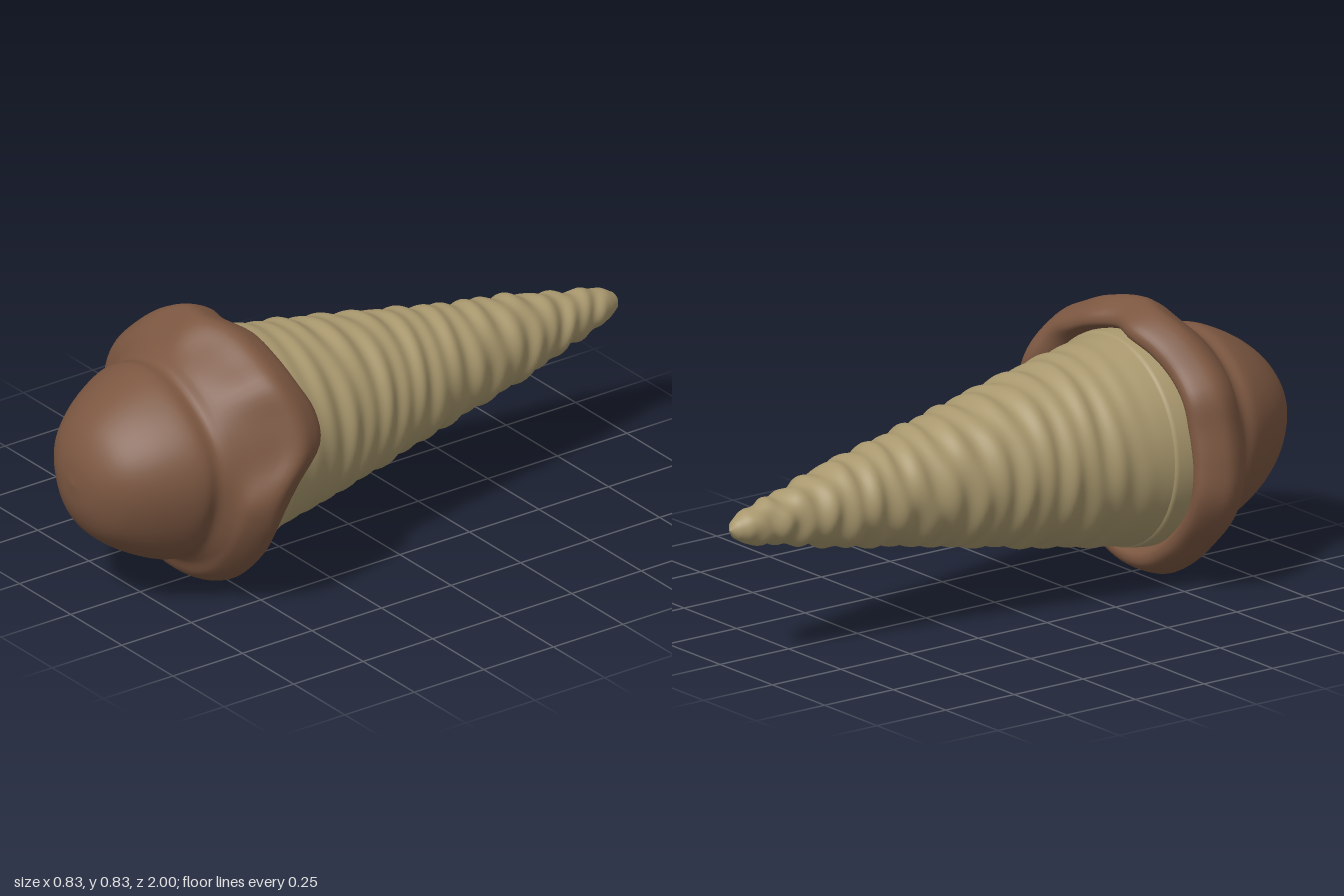
import * as THREE from 'three';

const CY = 0.415; // height of the long axis
const SEG = 96;

// Periodic smooth lookup into values spread evenly round the circle
function around(values, angle) {
  const n = values.length;
  const t = ((angle / (Math.PI * 2)) * n + n) % n;
  const i = Math.floor(t), f = t - i;
  const [a, b, c, d] = [-1, 0, 1, 2].map(k => values[(i + k + n) % n]);
  return b + 0.5 * f * (c - a + f * (2 * a - 5 * b + 4 * c - d + f * (3 * (b - c) + d - a)));
}

// Piecewise-linear lookup in rows of [z, ...], z falling
function lookup(rows, z, col) {
  let i = 0;
  while (i < rows.length - 2 && z < rows[i + 1][0]) i++;
  const [p, q] = [rows[i], rows[i + 1]];
  return THREE.MathUtils.lerp(p[col], q[col], (z - p[0]) / (q[0] - p[0]));
}

// Skin of closed rings running from front to back; point(row, angle) gives [x, y, z]
function loft(rows, point) {
  const pos = [], index = [];
  for (let i = 0; i < rows; i++) {
    for (let j = 0; j < SEG; j++) pos.push(...point(i, (j / SEG) * Math.PI * 2));
  }
  for (let i = 0; i < rows - 1; i++) {
    for (let j = 0; j < SEG; j++) {
      const a = i * SEG + j, d = i * SEG + ((j + 1) % SEG);
      index.push(a, a + SEG, d, d, a + SEG, d + SEG);
    }
  }
  const g = new THREE.BufferGeometry();
  g.setAttribute('position', new THREE.Float32BufferAttribute(pos, 3));
  g.setIndex(index);
  g.computeVertexNormals();
  return g;
}

// Outer radius of the skirt and z of its drooping edge, every 15 degrees from +x
const SKIRT = [0.41, 0.42, 0.425, 0.43, 0.412, 0.41, 0.41, 0.412, 0.408, 0.403, 0.413, 0.4,
  0.408, 0.423, 0.415, 0.405, 0.41, 0.42, 0.415, 0.407, 0.4, 0.39, 0.39, 0.4];
const EDGE = [0.44, 0.365, 0.36, 0.39, 0.395, 0.405, 0.435, 0.415, 0.435, 0.455, 0.455, 0.46,
  0.46, 0.455, 0.46, 0.465, 0.46, 0.455, 0.455, 0.46, 0.465, 0.465, 0.48, 0.48];

// Scoop with a thick rolled skirt
function iceCreamGeometry() {
  const rows = 64, cache = new Map();
  const profile = angle => {
    if (!cache.has(angle)) {
      const R = around(SKIRT, angle), E = around(EDGE, angle);
      const w = 1 + 0.02 * Math.sin(3 * angle + 0.6) + 0.01 * Math.sin(5 * angle);
      const peak = Math.min(E + 0.1, 0.56);
      const pts = [[0, 0.995], [0.09 * w, 0.98], [0.165 * w, 0.94], [0.22 * w, 0.88],
        [0.268 * w, 0.8], [0.295 * w, 0.73], [0.295 * w, 0.685], [0.325, 0.65],
        [R - 0.035, peak + 0.065], [R, peak], [R - 0.012, (peak + E) / 2],
        [R - 0.04, E + 0.008], [R - 0.07, E + 0.005], [0.32, E + 0.04], [0.295, 0.54]];
      const curve = new THREE.CatmullRomCurve3(pts.map(p => new THREE.Vector3(p[0], p[1], 0)));
      cache.set(angle, Array.from({ length: rows }, (_, k) => curve.getPoint(k / (rows - 1))));
    }
    return cache.get(angle);
  };
  return loft(rows, (i, a) => {
    const p = profile(a)[i];
    return [p.x * Math.cos(a), CY + p.x * Math.sin(a), p.y];
  });
}

// Rows of [z, radius, centre x]
const CONE = [[0.41, 0.313, -0.01], [0, 0.238, -0.015], [-0.4, 0.158, -0.02], [-0.6, 0.126, -0.03],
  [-0.8, 0.078, -0.036], [-0.9, 0.06, -0.042], [-0.95, 0.047, -0.045], [-0.985, 0.025, -0.045], [-1, 0, -0.045]];

// Tapering body with uneven ripples
function coneGeometry() {
  const rows = 160;
  return loft(rows, (i, a) => {
    const z = 0.41 - 1.41 * (i / (rows - 1));
    const fade = THREE.MathUtils.smoothstep(z, -0.99, -0.85) * (1 - THREE.MathUtils.smoothstep(z, 0.2, 0.4));
    const ripple = 0.0045 * Math.sin(z * 80 + 1.2 * Math.sin(a) + Math.sin(2 * a + z * 9))
      + 0.003 * Math.sin(z * 47 + 3 * a);
    const r = Math.max(0, lookup(CONE, z, 1) + ripple * fade);
    return [lookup(CONE, z, 2) + r * Math.cos(a), CY + r * Math.sin(a), z];
  });
}

// Plain band at the mouth of the cone
function rimGeometry() {
  const band = [[0.3, 0.52], [0.326, 0.5], [0.326, 0.47], [0.32, 0.425], [0.318, 0.415], [0.306, 0.41]];
  return loft(band.length, (i, a) =>
    [-0.007 + band[i][0] * Math.cos(a), CY + band[i][0] * Math.sin(a), band[i][1]]);
}

export function createModel() {
  const chocolate = new THREE.MeshStandardMaterial({ color: 0x7c5741, side: THREE.DoubleSide });
  chocolate.name = 'chocolate brown';
  const wafer = new THREE.MeshStandardMaterial({ color: 0xa9986e });
  wafer.name = 'wafer tan';

  const group = new THREE.Group();
  group.name = 'iceCreamCone';
  const add = (name, geometry, material) => {
    const mesh = new THREE.Mesh(geometry, material);
    mesh.name = name;
    group.add(mesh);
  };
  add('scoop', iceCreamGeometry(), chocolate);
  add('waferCone', coneGeometry(), wafer);
  add('coneRim', rimGeometry(), wafer);
  return group;
}
